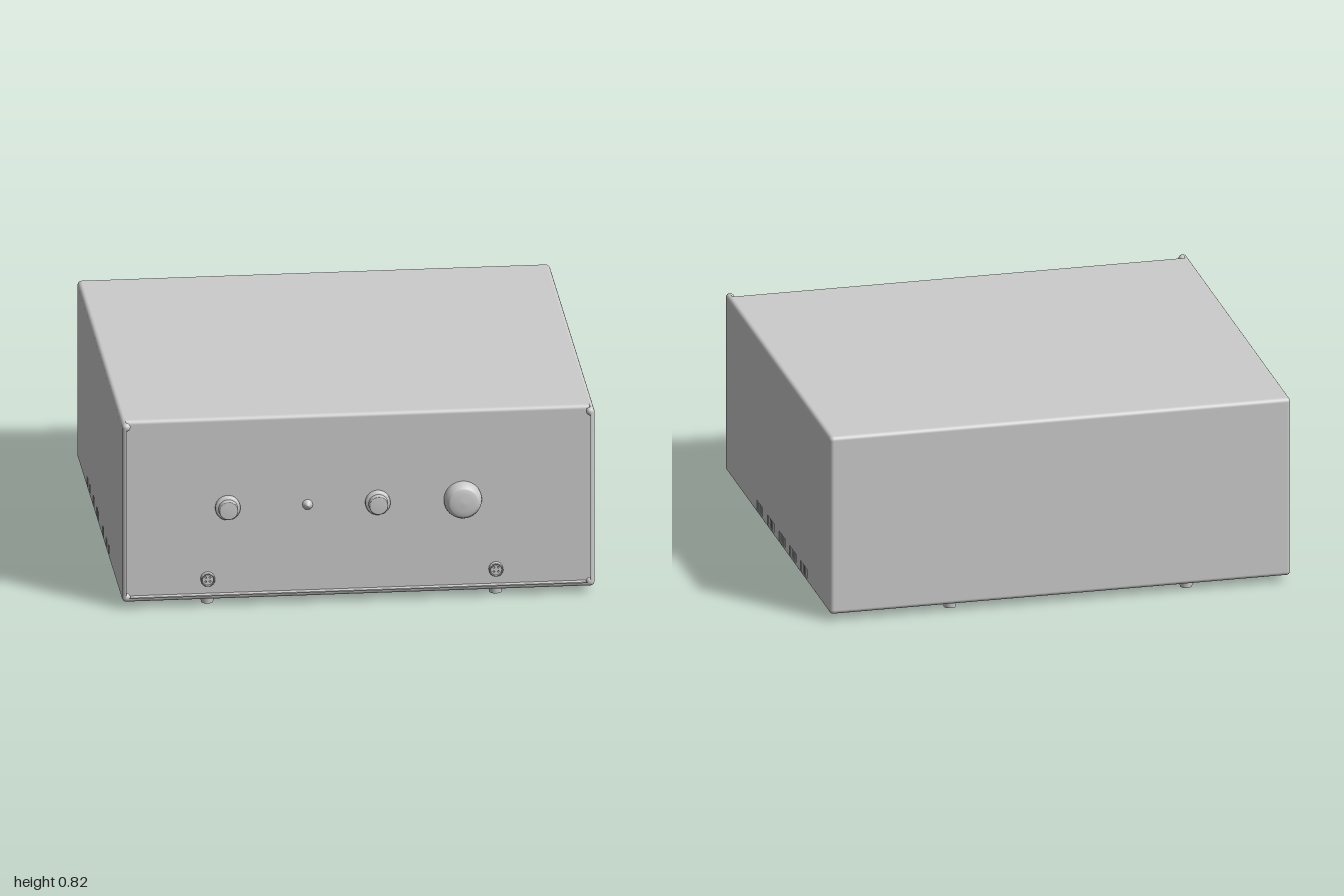
import * as THREE from 'three';

const mat = new THREE.MeshStandardMaterial({ color: 0xcccccc, side: THREE.DoubleSide });

// Case limits, edge radius and sheet thickness
const X = 1, Y0 = 0.03, Y1 = 0.825, ZB = -0.925, ZF = 0.91, PANEL = 0.865;
const R = 0.018, T = 0.014, Q = Math.PI / 2;

function add(parent, name, geometry, x = 0, y = 0, z = 0) {
  const mesh = new THREE.Mesh(geometry, mat);
  mesh.name = name;
  mesh.position.set(x, y, z);
  parent.add(mesh);
  return mesh;
}

function rect(path, u0, v0, u1, v1) {
  path.moveTo(u0, v0);
  path.lineTo(u1, v0);
  path.lineTo(u1, v1);
  path.lineTo(u0, v1);
  path.closePath();
  return path;
}

// Flat sheet with rectangular slots
function sheet(u0, v0, u1, v1, slots = []) {
  const shape = rect(new THREE.Shape(), u0, v0, u1, v1);
  for (const s of slots) shape.holes.push(rect(new THREE.Path(), ...s));
  return new THREE.ExtrudeGeometry(shape, { depth: T, bevelEnabled: false });
}

// Quarter-round edge; the quadrant is counted from the cylinder's theta = 0
function edge(length, quadrant) {
  return new THREE.CylinderGeometry(R, R, length, 6, 1, true, quadrant * Q, Q);
}

// Five slot offsets for one vent group
const offsets = [-2, -1, 0, 1, 2].map(i => i * 0.0235);
const SLOT = 0.007;
const ventZ = [0.305, 0.11, -0.085, -0.275, -0.465];

function buildCase() {
  const g = new THREE.Group();
  g.name = 'case';
  const x = X - R, y0 = Y0 + R, y1 = Y1 - R, zb = ZB + R, zf = ZF - R, zp = PANEL - R;

  // Side walls with a row of vents at the foot
  const sideSlots = ventZ.flatMap(z => offsets.map(o => [z + o - SLOT, y0 + 0.002, z + o + SLOT, 0.092]));
  for (const s of [1, -1]) {
    const wall = sheet(zb, y0, zf, y1, sideSlots).rotateY(-Q);
    add(g, s > 0 ? 'leftWall' : 'rightWall', wall, s > 0 ? X : -X + T);
  }

  // Floor with vents along both sides and across the back
  const floorSlots = [];
  const floorVent = (cx, cz) => offsets.forEach(o =>
    floorSlots.push([cx - 0.065, cz + o - SLOT, cx + 0.065, cz + o + SLOT]));
  for (const z of ventZ) [-0.905, 0.905].forEach(cx => floorVent(cx, z));
  for (let i = 0; i < 8; i++) floorVent((i - 3.5) * 0.19, -0.42);
  add(g, 'floor', sheet(-x, zb, x, zf, floorSlots).rotateX(Q), 0, Y0 + T);

  // Top, back and recessed front panel
  add(g, 'topCover', sheet(-x, zb, x, zp).rotateX(Q), 0, Y1);
  add(g, 'backPanel', sheet(-x, y0, x, y1), 0, 0, ZB);
  add(g, 'frontPanel', sheet(-X + T, Y0 + T, X - T, y1), 0, 0, PANEL - T);

  // Rounded edges running up, front to back, and across
  const h = y1 - y0, d = zf - zb, yc = (y0 + y1) / 2, zc = (zf + zb) / 2;
  for (const [s, z, q] of [[1, zf, 0], [1, zb, 1], [-1, zb, 2], [-1, zf, 3]])
    add(g, 'uprightEdge', edge(h, q), s * x, yc, z);
  for (const [s, y, q] of [[1, y0, 0], [1, y1, 1], [-1, y1, 2], [-1, y0, 3]])
    add(g, 'sideEdge', edge(d, q).rotateX(Q), s * x, y, zc);
  for (const [y, z, q] of [[y0, zf, 0], [y0, zb, 1], [y1, zb, 2], [y1, zp, 3]])
    add(g, 'crossEdge', edge(2 * x, q).rotateZ(-Q), 0, y, z);
  for (const s of [1, -1]) for (const y of [y0, y1]) for (const z of [zb, zf])
    add(g, 'corner', new THREE.SphereGeometry(R, 16, 12), s * x, y, z);
  return g;
}

// Turned part standing out of the front panel; profile is [radius, height]
function turned(parent, name, profile, x, y) {
  const points = profile.map(p => new THREE.Vector2(...p));
  const mesh = add(parent, name, new THREE.LatheGeometry(points, 40).rotateX(Q), x, y, PANEL);
  return mesh;
}

// Round socket with pin holes
function socket(parent, x, y) {
  const g = new THREE.Group();
  g.name = 'socket';
  g.position.set(x, y, PANEL);
  const face = new THREE.Shape().absarc(0, 0, 0.024, 0, Math.PI * 2);
  for (let i = 0; i < 4; i++) {
    const a = i * Q + Q / 2;
    face.holes.push(new THREE.Path().absarc(0.013 * Math.cos(a), 0.013 * Math.sin(a), 0.004, 0, Math.PI * 2));
  }
  add(g, 'socketFace', new THREE.ExtrudeGeometry(face, { depth: 0.015, bevelEnabled: false, curveSegments: 16 }));
  const ring = [[0.03, 0], [0.03, 0.02], [0.028, 0.023], [0.024, 0.023], [0.024, 0]];
  add(g, 'socketRing', new THREE.LatheGeometry(ring.map(p => new THREE.Vector2(...p)), 32).rotateX(Q));
  parent.add(g);
}

export function createModel() {
  const model = new THREE.Group();
  model.name = 'amplifier';
  model.add(buildCase());

  // Selector knobs with a wide collar, large volume knob, small indicator
  const selector = [[0.053, 0], [0.053, 0.014], [0.05, 0.02], [0.041, 0.022], [0.041, 0.022],
    [0.04, 0.048], [0.037, 0.051], [0, 0.051]];
  for (const x of [-0.55, 0.085]) turned(model, 'selectorKnob', selector, x, 0.425);
  const volume = [[0.08, 0], [0.08, 0.014], [0.077, 0.028], [0.071, 0.041], [0.062, 0.051],
    [0.06, 0.053], [0.04, 0.058], [0, 0.06]];
  turned(model, 'volumeKnob', volume, 0.445, 0.425);
  turned(model, 'indicator', [[0.022, 0], [0.022, 0.005], [0.012, 0.016], [0.006, 0.023], [0, 0.025]], -0.212, 0.425);

  for (const x of [-0.635, 0.585]) socket(model, x, 0.11);

  // Feet, set wider at the front
  for (const [x, z] of [[0.585, 0.845], [-0.635, 0.845], [0.465, -0.86], [-0.56, -0.86]])
    add(model, 'foot', new THREE.CylinderGeometry(0.029, 0.026, 0.032, 24), x, 0.016, z);
  return model;
}
